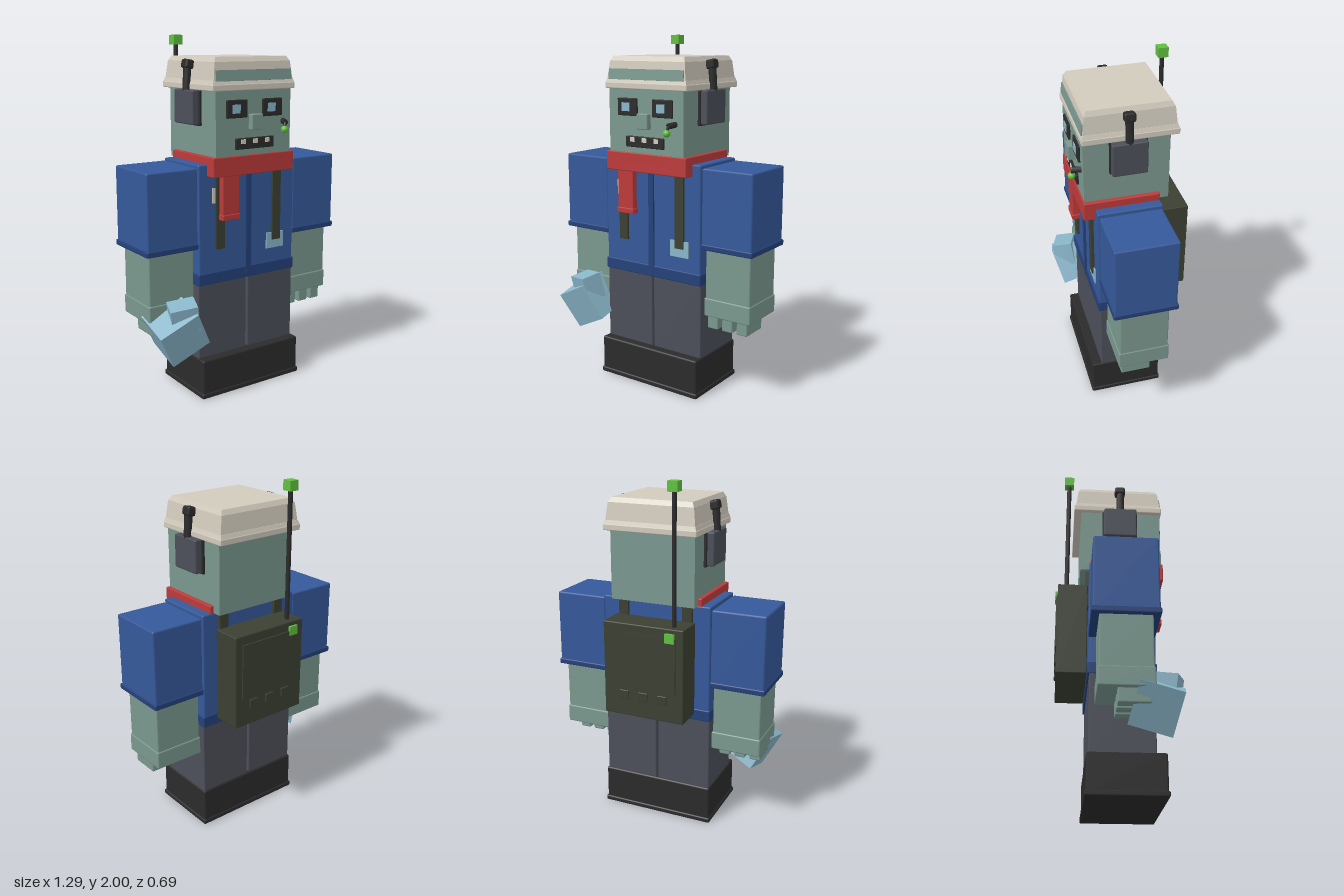
import * as THREE from 'three';
import { RoundedBoxGeometry } from 'three/addons/geometries/RoundedBoxGeometry.js';

const colours = {
  skin: 0x7a988f, jacket: 0x35599a, trim: 0x24417a, red: 0xbc3a3a, olive: 0x3b4032,
  charcoal: 0x2b2b2b, grey: 0x4c4f59, beige: 0xd2cbbd, green: 0x60c040, glass: 0x8ab6ca,
};

export function createModel() {
  const model = new THREE.Group();
  model.name = 'figure';
  const mats = {};
  for (const [name, hex] of Object.entries(colours)) {
    mats[name] = new THREE.MeshStandardMaterial({ color: hex });
    mats[name].name = name;
  }

  const add = (name, mat, geo, x = 0, y = 0, z = 0) => {
    const mesh = new THREE.Mesh(geo, mats[mat]);
    mesh.name = name;
    mesh.position.set(x, y, z);
    model.add(mesh);
    return mesh;
  };
  // Box given by its limits on each axis, with an optional small bevel
  const box = (name, mat, x0, x1, y0, y1, z0, z1, bevel = 0) => {
    const size = [x1 - x0, y1 - y0, z1 - z0];
    const geo = bevel ? new RoundedBoxGeometry(...size, 1, bevel) : new THREE.BoxGeometry(...size);
    return add(name, mat, geo, (x0 + x1) / 2, (y0 + y1) / 2, (z0 + z1) / 2);
  };
  // Same box on both sides, side s = 1 is the model's left
  const pair = (name, mat, x0, x1, ...rest) => {
    box(name + 'Left', mat, x0, x1, ...rest);
    box(name + 'Right', mat, -x1, -x0, ...rest);
  };
  // Box whose top is drawn in by dx and dz on each side
  const tapered = (name, mat, x0, x1, y0, y1, z0, z1, dx, dz) => {
    const mesh = box(name, mat, x0, x1, y0, y1, z0, z1);
    const p = mesh.geometry.attributes.position;
    for (let i = 0; i < p.count; i++) {
      if (p.getY(i) > 0) {
        p.setX(i, p.getX(i) - Math.sign(p.getX(i)) * dx);
        p.setZ(i, p.getZ(i) - Math.sign(p.getZ(i)) * dz);
      }
    }
    mesh.geometry.computeVertexNormals();
    return mesh;
  };
  // Rod between two points
  const rod = (name, mat, a, b, thick, thickEnd = thick) => {
    const from = new THREE.Vector3(...a), to = new THREE.Vector3(...b);
    const dir = to.clone().sub(from);
    const mesh = add(name, mat, new THREE.CylinderGeometry(thickEnd, thick, dir.length(), 8));
    mesh.position.copy(from).addScaledVector(dir, 0.5);
    mesh.quaternion.setFromUnitVectors(new THREE.Vector3(0, 1, 0), dir.normalize());
    return mesh;
  };

  // Boots and legs
  box('boots', 'charcoal', -0.335, 0.335, 0.01, 0.225, -0.165, 0.25, 0.01);
  box('sole', 'charcoal', -0.342, 0.342, 0, 0.03, -0.172, 0.257, 0.008);
  pair('leg', 'grey', 0.006, 0.328, 0.21, 0.66, -0.155, 0.195, 0.006);

  // Jacket
  box('torso', 'jacket', -0.325, 0.325, 0.66, 1.32, -0.16, 0.2, 0.008);
  box('hem', 'trim', -0.331, 0.331, 0.648, 0.715, -0.165, 0.206, 0.006);
  box('placket', 'trim', -0.017, 0.017, 0.665, 1.3, 0.195, 0.211);

  // Arms, hands and fingers
  pair('sleeve', 'jacket', 0.327, 0.638, 0.865, 1.305, -0.155, 0.192, 0.01);
  pair('cuff', 'trim', 0.326, 0.645, 0.857, 0.89, -0.162, 0.198, 0.007);
  pair('forearm', 'skin', 0.335, 0.615, 0.56, 0.87, -0.12, 0.157, 0.008);
  pair('hand', 'skin', 0.329, 0.62, 0.47, 0.575, -0.126, 0.163, 0.008);
  for (const x of [0.375, 0.468, 0.561]) {
    pair('finger', 'skin', x - 0.033, x + 0.033, 0.395, 0.485, -0.025, 0.143, 0.007);
  }

  // Held block with a smaller one set in its top
  const u = new THREE.Vector3(0.211, 0.105, 0.035).normalize();
  const n = new THREE.Vector3(-0.02, -0.28, 0.96);
  n.addScaledVector(u, -n.dot(u)).normalize();
  const v = n.clone().cross(u);
  const block = add('heldBlock', 'glass', new THREE.BoxGeometry(0.24, 0.23, 0.23), -0.47, 0.425, 0.182);
  block.quaternion.setFromRotationMatrix(new THREE.Matrix4().makeBasis(u, v, n));
  const chip = add('heldBlockChip', 'glass', new THREE.BoxGeometry(0.15, 0.15, 0.12), -0.455, 0.515, 0.24);
  chip.rotation.set(0.2, -0.32, 0.2);

  // Scarf
  box('scarf', 'red', -0.272, 0.272, 1.255, 1.362, -0.157, 0.262, 0.006);
  box('scarfTail', 'red', -0.202, -0.095, 1.03, 1.27, 0.212, 0.25, 0.005);
  box('scarfTailEnd', 'red', -0.206, -0.09, 1.01, 1.042, 0.208, 0.256, 0.005);

  // Head and face
  box('head', 'skin', -0.25, 0.25, 1.32, 1.78, -0.21, 0.253);
  box('nose', 'skin', -0.037, 0.037, 1.497, 1.583, 0.25, 0.288, 0.006);
  for (const s of [-1, 1]) {
    const x = s * 0.118;
    box('eyeFrame', 'charcoal', x - 0.067, x + 0.067, 1.565, 1.662, 0.25, 0.264, 0.005);
    box('eye', 'glass', x - 0.034, x + 0.018, 1.59, 1.637, 0.261, 0.268);
  }
  box('mouth', 'charcoal', -0.128, 0.128, 1.395, 1.456, 0.25, 0.266, 0.005);
  for (const x of [-0.08, 0, 0.08]) {
    box('tooth', 'beige', x - 0.015, x + 0.015, 1.425, 1.45, 0.263, 0.27);
  }

  // Cap with a forehead opening
  tapered('capCrown', 'beige', -0.264, 0.264, 1.75, 1.86, -0.242, 0.255, 0.014, 0.012);
  tapered('capTop', 'beige', -0.25, 0.25, 1.858, 1.886, -0.23, 0.243, 0.014, 0.015);
  box('capBand', 'beige', -0.274, 0.274, 1.71, 1.745, -0.253, 0.262, 0.006);
  tapered('capBandTop', 'beige', -0.272, 0.272, 1.74, 1.765, -0.251, 0.261, 0.008, 0.008);
  const forehead = box('forehead', 'skin', -0.25, 0.25, 1.76, 1.818, 0.25, 0.257);
  forehead.rotation.x = -0.108;

  // Headset
  for (const s of [-1, 1]) {
    rod('headsetArm', 'charcoal', [s * 0.285, 1.7, 0.018], [s * 0.275, 1.85, 0.018], 0.022);
    const knob = add('headsetKnob', 'charcoal', new RoundedBoxGeometry(0.056, 0.05, 0.06, 1, 0.012), s * 0.272, 1.845, 0.016);
    knob.rotation.z = s * 0.2;
  }
  pair('earPad', 'charcoal', 0.245, 0.266, 1.518, 1.71, -0.085, 0.118, 0.006);
  pair('earCup', 'grey', 0.262, 0.306, 1.525, 1.71, -0.078, 0.112, 0.008);
  rod('microphoneBoom', 'charcoal', [0.2, 1.535, 0.245], [0.182, 1.528, 0.298], 0.016);
  rod('microphoneStem', 'charcoal', [0.184, 1.53, 0.292], [0.175, 1.5, 0.3], 0.008);
  add('microphoneTip', 'green', new THREE.SphereGeometry(0.021, 10, 8), 0.175, 1.49, 0.3);

  // Straps, badge and pocket patch
  box('badge', 'beige', -0.24, -0.13, 1.105, 1.19, 0.198, 0.206);
  box('patch', 'glass', 0.13, 0.252, 0.795, 0.888, 0.198, 0.207);
  pair('strapFront', 'olive', 0.165, 0.222, 0.845, 1.33, 0.195, 0.215);
  pair('strapTop', 'olive', 0.165, 0.222, 1.315, 1.332, -0.178, 0.215);
  pair('strapBack', 'olive', 0.165, 0.222, 1.1, 1.332, -0.178, -0.155);

  // Radio pack
  box('radio', 'olive', -0.24, 0.24, 0.685, 1.227, -0.334, -0.165, 0.006);
  box('radioPanel', 'olive', -0.195, 0.195, 0.86, 1.175, -0.342, -0.33);
  for (const x of [-0.115, 0, 0.115]) {
    box('radioButton', 'olive', x - 0.028, x + 0.028, 0.785, 0.838, -0.343, -0.33, 0.004);
  }
  box('radioLight', 'green', -0.19, -0.135, 1.15, 1.203, -0.348, -0.33);
  rod('antenna', 'charcoal', [-0.165, 1.21, -0.285], [-0.165, 1.96, -0.285], 0.013);
  box('antennaTip', 'green', -0.193, -0.137, 1.945, 2, -0.313, -0.257);

  return model;
}
